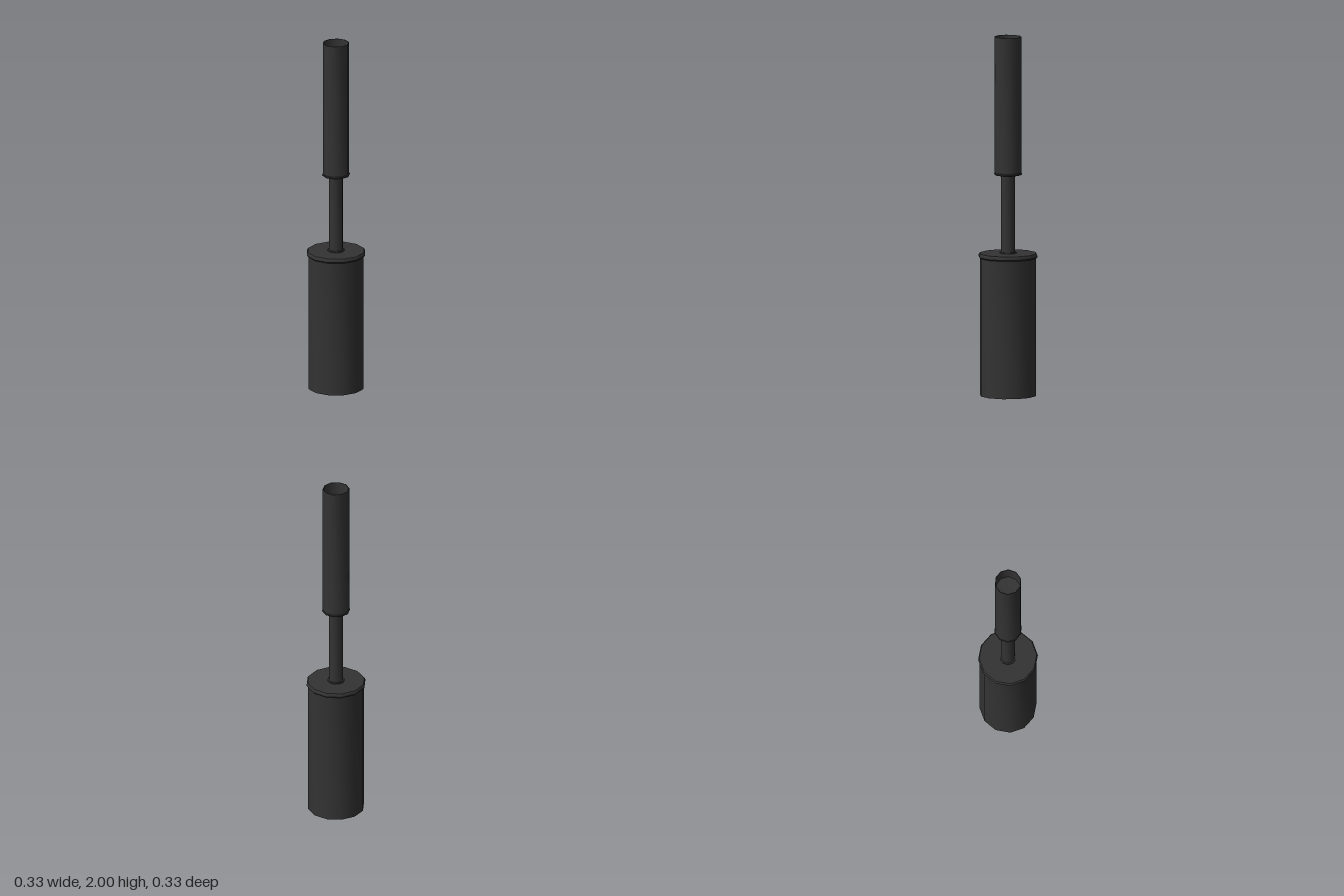
import * as THREE from 'three';
import { toCreasedNormals } from 'three/addons/utils/BufferGeometryUtils.js';

export function createModel() {
  const model = new THREE.Group();
  const darkMetal = new THREE.MeshStandardMaterial({ color: 0x333333 });
  darkMetal.name = 'darkMetal';

  // Turned part from [radius, height] points, bottom to top
  function turned(name, sides, points, turn = 0) {
    const profile = points.map(([r, y]) => new THREE.Vector2(r, y));
    const geometry = toCreasedNormals(new THREE.LatheGeometry(profile, sides), 0.7);
    geometry.rotateY(turn);
    const mesh = new THREE.Mesh(geometry, darkMetal);
    mesh.name = name;
    model.add(mesh);
  }

  // Wide lower barrel
  turned('base', 12, [[0, 0], [0.157, 0], [0.157, 0.78], [0, 0.78]]);

  // Bevelled lid overhanging the barrel
  turned('baseLid', 12, [[0, 0.767], [0.158, 0.767], [0.165, 0.774], [0.165, 0.784], [0.159, 0.793], [0, 0.793]]);

  // Thin stem with a collar at each end
  turned('stem', 10, [[0, 0.78], [0.039, 0.78], [0.039, 1.25], [0, 1.25]], Math.PI / 2);
  for (const [name, y] of [['lowerCollar', 0.79], ['upperCollar', 1.224]]) {
    turned(name, 10, [[0, y], [0.047, y], [0.047, y + 0.01], [0, y + 0.01]], Math.PI / 2);
  }

  // Upper tube with a hollow end
  turned('upperTube', 10, [[0, 1.235], [0.074, 1.235], [0.074, 2], [0.071, 2], [0.068, 1.9], [0, 1.89]], Math.PI / 2);

  // Lip around the lower end of the tube
  turned('tubeLip', 10, [[0, 1.229], [0.073, 1.229], [0.077, 1.233], [0.077, 1.239], [0.073, 1.243], [0, 1.243]], Math.PI / 2);

  return model;
}
